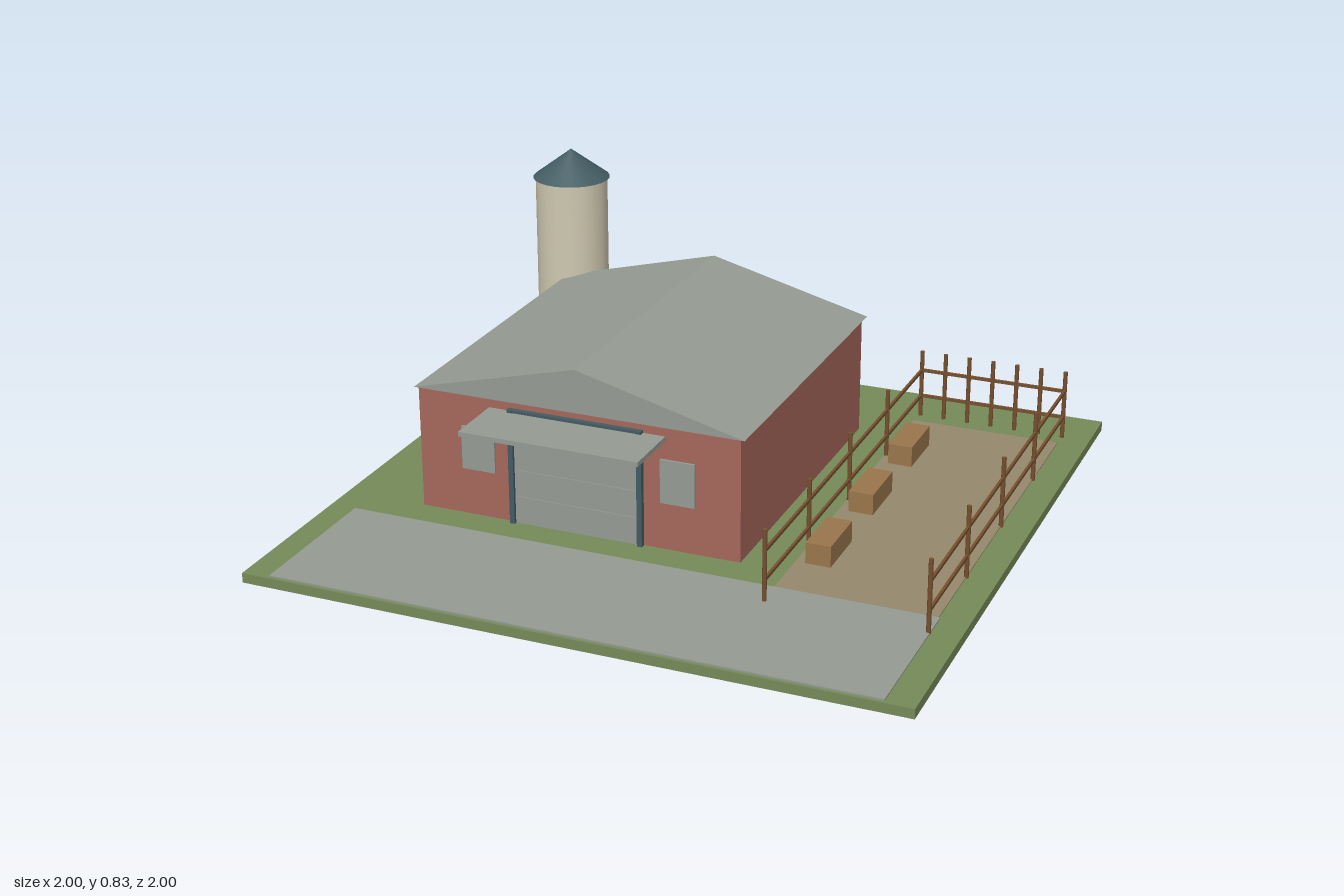
import * as THREE from 'three';

const mat = (name, color) => {
  const m = new THREE.MeshStandardMaterial({ color });
  m.name = name;
  return m;
};

export function createModel() {
  const grass = mat('grass green', 0x768a58);
  const concrete = mat('concrete grey', 0x959b93);
  const dirt = mat('dirt tan', 0x95886c);
  const brick = mat('barn red', 0xa5675a);
  const cream = mat('silo cream', 0xcfc8b0);
  const slate = mat('dark slate', 0x435c63);
  const wood = mat('fence brown', 0x75502f);
  const hay = mat('bale brown', 0x99764c);

  const root = new THREE.Group();
  root.name = 'farm';
  const group = (name) => {
    const g = new THREE.Group();
    g.name = name;
    root.add(g);
    return g;
  };
  const add = (parent, name, geometry, material, x = 0, y = 0, z = 0) => {
    const m = new THREE.Mesh(geometry, material);
    m.name = name;
    m.position.set(x, y, z);
    parent.add(m);
    return m;
  };
  // Box given by its extents along each axis
  const box = (parent, name, material, [x0, x1], [y0, y1], [z0, z1]) =>
    add(parent, name, new THREE.BoxGeometry(x1 - x0, y1 - y0, z1 - z0), material,
      (x0 + x1) / 2, (y0 + y1) / 2, (z0 + z1) / 2);

  const G = 0.03; // ground level

  // Ground slab, yard and paddock surfaces
  const land = group('land');
  box(land, 'grassSlab', grass, [-1, 1], [0, G], [-1, 1]);
  box(land, 'concreteYard', concrete, [-0.915, 0.915], [G, G + 0.005], [0.51, 0.99]);
  box(land, 'dirtPaddock', dirt, [0.43, 0.91], [G, G + 0.004], [-0.77, 0.51]);

  // Barn walls and solid gable roof
  const barn = group('barn');
  box(barn, 'walls', brick, [-0.74, 0.285], [G, 0.415], [-0.645, 0.4]);
  const gable = new THREE.Shape([
    new THREE.Vector2(-0.752, 0.415),
    new THREE.Vector2(0.298, 0.415),
    new THREE.Vector2(-0.227, 0.55),
  ]);
  add(barn, 'roof', new THREE.ExtrudeGeometry(gable, { depth: 1.065, bevelEnabled: false }),
    concrete, 0, 0, -0.658);

  // Sectional door with frame and canopy
  const door = group('door');
  box(door, 'doorPanel', concrete, [-0.428, -0.032], [G, 0.375], [0.395, 0.406]);
  for (let i = 0; i < 4; i++) {
    const y = 0.036 + i * 0.085;
    box(door, 'doorSection', concrete, [-0.426, -0.034], [y, y + 0.082], [0.405, 0.409]);
  }
  for (const x of [-0.443, -0.032]) {
    box(door, 'doorPost', slate, [x, x + 0.016], [G, 0.395], [0.395, 0.417]);
  }
  box(door, 'doorHeader', slate, [-0.443, -0.016], [0.375, 0.395], [0.395, 0.415]);
  box(door, 'canopy', concrete, [-0.508, 0.053], [0.372, 0.386], [0.4, 0.595]);

  // Front windows
  for (const x of [-0.6, 0.038]) {
    box(barn, 'window', concrete, [x, x + 0.108], [0.178, 0.315], [0.399, 0.407]);
  }

  // Silo with conical cap
  const silo = group('silo');
  silo.position.set(-0.765, 0, -0.725);
  add(silo, 'siloTower', new THREE.CylinderGeometry(0.119, 0.119, 0.705, 18), cream, 0, G + 0.3525, 0);
  add(silo, 'siloCap', new THREE.ConeGeometry(0.127, 0.095, 24), slate, 0, 0.7825, 0);

  // Paddock fence, open towards the yard
  const fence = group('fence');
  const L = 0.435, R = 0.91, B = -0.828, F = 0.6;
  const postGeometry = new THREE.CylinderGeometry(0.007, 0.007, 0.225, 8);
  const post = (x, z) => add(fence, 'fencePost', postGeometry, wood, x, G + 0.1125, z);
  for (let i = 0; i < 5; i++) {
    const z = F + (B - F) * i / 4;
    post(L, z);
    post(R, z);
  }
  for (let i = 1; i < 6; i++) post(L + (R - L) * i / 6, B);
  for (const y of [0.1, 0.189]) {
    const h = [y - 0.005, y + 0.005];
    for (const x of [L, R]) box(fence, 'sideRail', wood, [x - 0.004, x + 0.004], h, [B, F]);
    box(fence, 'backRail', wood, [L, R], h, [B - 0.004, B + 0.004]);
  }

  // Bales along the inside of the fence
  const bales = group('bales');
  for (const z of [-0.505, -0.128, 0.247]) {
    box(bales, 'bale', hay, [0.46, 0.537], [G, 0.1], [z - 0.092, z + 0.092]);
  }

  return root;
}
